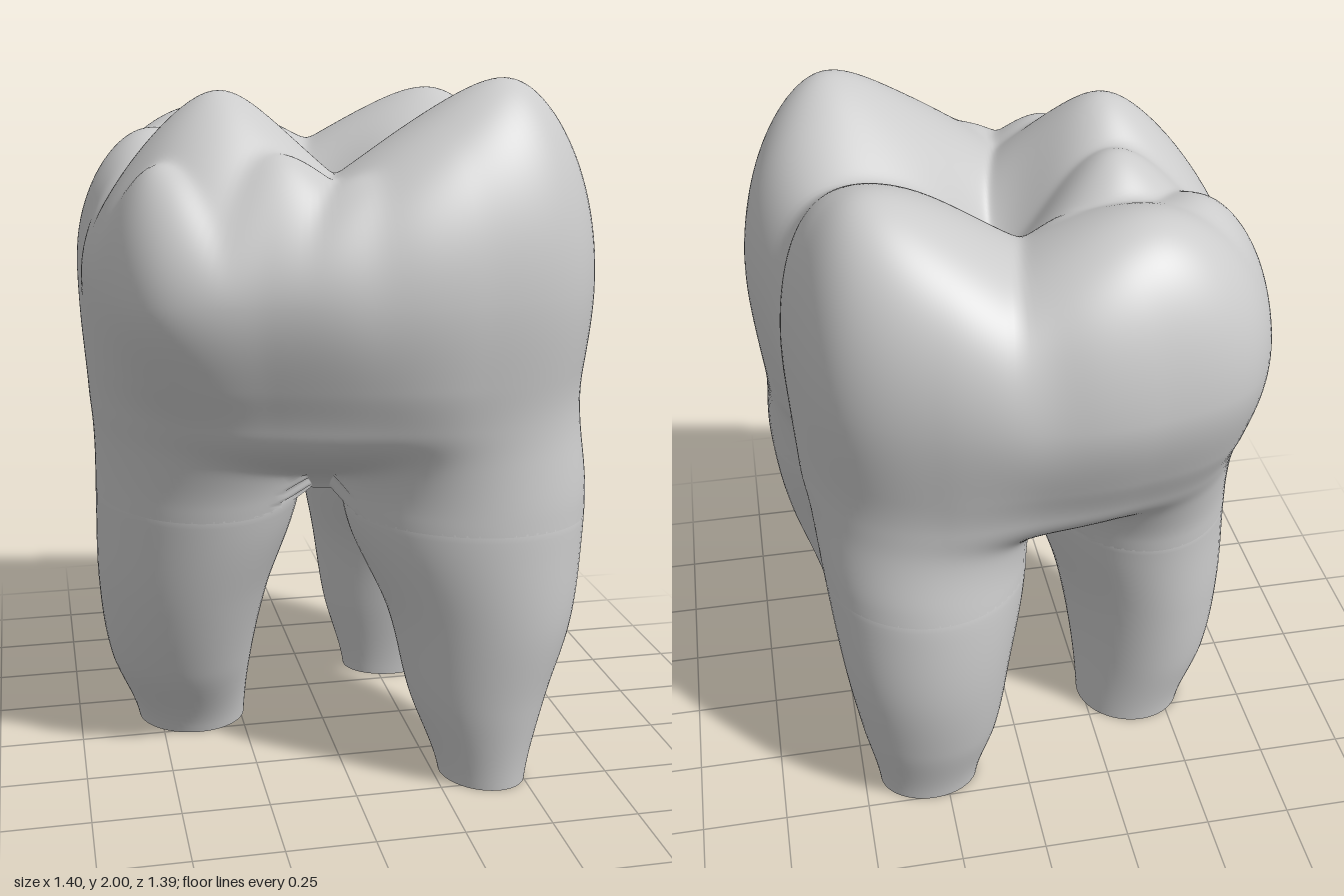
import * as THREE from 'three';

const TAU = Math.PI * 2;
const step = THREE.MathUtils.smoothstep;
const mix = THREE.MathUtils.lerp;
const material = new THREE.MeshStandardMaterial({ color: 0xcccccc, side: THREE.DoubleSide });

// Smooth curve through evenly spaced values; t is a fractional index
function spline(at, t) {
  const i = Math.floor(t), f = t - i;
  const a = at(i - 1), b = at(i), c = at(i + 1), d = at(i + 2);
  return b + 0.5 * f * (c - a + f * (2 * a - 5 * b + 4 * c - d + f * (3 * (b - c) + d - a)));
}

// Radii every 22.5 degrees from +x towards +z: crown at its widest, and the waist below it
const OUTLINE = [0.64, 0.755, 0.825, 0.745, 0.695, 0.69, 0.775, 0.725,
  0.7, 0.75, 0.8, 0.735, 0.69, 0.695, 0.72, 0.66];
const WAIST = [0.6, 0.72, 0.78, 0.69, 0.6, 0.58, 0.63, 0.67,
  0.685, 0.7, 0.69, 0.61, 0.58, 0.64, 0.68, 0.65];
const radius = (table, a) => spline((i) => table[(i + 16) % 16], (a / TAU) * 16);

// Roots: skew of the oval, and [centre x, centre z, half width x, half width z] at y = 0, 0.25, 0.5 ...
const ROOTS = {
  frontLeftRoot: { skew: 0.18, keys: [[0.39, 0.425, 0.12, 0.125], [0.375, 0.4, 0.19, 0.185],
    [0.38, 0.385, 0.255, 0.235], [0.345, 0.335, 0.325, 0.295], [0.335, 0.31, 0.345, 0.315], [0.335, 0.31, 0.35, 0.32]] },
  backLeftRoot: { skew: 0, keys: [[0.3, -0.39, 0.15, 0.115], [0.29, -0.4, 0.205, 0.175],
    [0.29, -0.39, 0.245, 0.23], [0.28, -0.33, 0.285, 0.29], [0.28, -0.285, 0.305, 0.305], [0.28, -0.28, 0.31, 0.31]] },
  rightRoot: { skew: 0.05, keys: [[-0.4, -0.14, 0.165, 0.16], [-0.433, -0.09, 0.217, 0.25],
    [-0.425, -0.05, 0.255, 0.32], [-0.385, -0.025, 0.295, 0.375], [-0.36, -0.02, 0.315, 0.42], [-0.36, -0.02, 0.32, 0.43]] },
};
const section = (keys, y) => [0, 1, 2, 3].map((k) =>
  spline((i) => keys[THREE.MathUtils.clamp(i, 0, 5)][k], y / 0.25));

// Cusps of the chewing surface: [x, z, height, slope, roundness]; grooves form where they meet
const CUSPS = [
  [0.44, 0.4, 2.02, 0.7, 0.1], [0.43, -0.3, 1.96, 0.62, 0.15], [-0.32, 0.18, 1.965, 0.95, 0.1],
  [-0.3, -0.05, 1.9, 1, 0.1], [-0.3, -0.45, 1.9, 0.65, 0.2], [-0.5, -0.25, 1.85, 0.7, 0.12],
  [-0.15, -0.2, 1.8, 0.9, 0.08], [-0.54, 0.38, 1.84, 0.9, 0.08], [0.03, 0.53, 1.78, 0.7, 0.1],
  [-0.2, 0.42, 1.82, 0.9, 0.08],
];
function chewingHeight(x, z) {
  let sum = 0;
  for (const [cx, cz, h, slope, e] of CUSPS) {
    const d = Math.hypot(x - cx, z - cz, e) - e;
    sum += Math.exp((h - slope * d - 1.8) / 0.01);
  }
  const pit = 0.1 * Math.exp(-((x + 0.02) ** 2 + (z - 0.03) ** 2) / 0.025);
  return 1.8 + 0.01 * Math.log(sum) - pit;
}

// Shallow vertical furrows where the main grooves run over the rim
function furrow(a, y) {
  let depth = 0;
  for (const [at, d] of [[-0.03, 0.04], [3.3, 0.035], [1.57, 0.015], [4.7, 0.02]]) {
    const off = Math.atan2(Math.sin(a - at), Math.cos(a - at));
    depth += d * Math.exp(-((off / 0.13) ** 2));
  }
  return 1 - depth * step(y, 1.25, 1.65);
}

// Trunk radius at height y: soft union of the root ovals and a core that widens upwards
function trunkRadius(y) {
  const ovals = Object.values(ROOTS).map(({ skew, keys }) => [skew, ...section(keys, y)]);
  const core = mix(0.1, 0.56, step(y, 0.78, 1.1));
  const soft = mix(0.012, 0.06, step(y, 0.8, 1.1));
  const distance = (x, z) => {
    let sum = Math.exp((core - Math.hypot(x, z)) / soft);
    for (const [q, cx, cz, rx, rz] of ovals) {
      const u = (x - cx) / rx, v = (z - cz) / rz;
      const d = Math.sqrt((u * u + v * v - 2 * q * u * v) / (1 - q * q)) - 1;
      sum += Math.exp(-d * (rx + rz) / 2 / soft);
    }
    return -soft * Math.log(sum);
  };
  return (a) => {
    const c = Math.cos(a), s = Math.sin(a);
    let r = 1, last = 1, d = 1;
    while (r > 0.03 && (d = distance(r * c, r * s)) > 0) {
      last = d;
      r -= 0.01;
    }
    return r + 0.01 * d / (d - last);
  };
}

// Closed rings from top to bottom, joined into one smooth skin; ring(i) gives a point per angle
function loft(name, rows, cols, ring) {
  const pos = [], index = [];
  for (let i = 0; i <= rows; i++) {
    const point = ring(i);
    for (let j = 0; j < cols; j++) {
      pos.push(...point((j / cols) * TAU));
      if (i === rows) continue;
      const a = i * cols + j, b = i * cols + ((j + 1) % cols);
      index.push(a, b, a + cols, b, b + cols, a + cols);
    }
  }
  const geo = new THREE.BufferGeometry();
  geo.setAttribute('position', new THREE.Float32BufferAttribute(pos, 3));
  geo.setIndex(index);
  geo.computeVertexNormals();
  const mesh = new THREE.Mesh(geo, material);
  mesh.name = name;
  return mesh;
}

// Crown: chewing surface, side wall, then the three-lobed trunk; a repeated last ring keeps its floor sharp
function makeCrown() {
  const TOP = 80, WALL = 60, RIM = 1.45, FLOOR = 0.8;
  return loft('crown', TOP + WALL + 2, 200, (i) => {
    if (i < TOP) {
      const k = Math.sin((i / TOP) * Math.PI / 2);
      const rise = Math.sqrt(1 - k ** 7.2);
      return (a) => {
        const r = radius(OUTLINE, a) * k, c = Math.cos(a), s = Math.sin(a);
        const y = RIM + (chewingHeight(r * c, r * s) - RIM) * rise;
        const cut = r * mix(1, furrow(a, y), k ** 4);
        return [cut * c, y, cut * s];
      };
    }
    if (i === TOP + WALL + 2) return () => [0, 0.84, 0];
    const y = mix(RIM, FLOOR, Math.min(1, (i - TOP) / WALL));
    const trunk = trunkRadius(y);
    return (a) => {
      const wall = mix(radius(WAIST, a), radius(OUTLINE, a) * furrow(a, y), step(y, 1.0, RIM));
      const r = mix(trunk(a), wall, step(y, 0.84, 1.22));
      return [r * Math.cos(a), y, r * Math.sin(a)];
    };
  });
}

// Root: tapering oval sections ending in a flat cut tip, its head tucked inside the trunk
function makeRoot(name, { skew, keys }) {
  const ROWS = 40, across = Math.sqrt(1 - skew * skew);
  return loft(name, ROWS + 2, 64, (i) => {
    const y = Math.max(0, 0.92 * (1 - i / ROWS));
    const [x, z, rx, rz] = section(keys, y);
    const k = i === ROWS + 2 ? 0 : 1 - 0.1 * step(y, 0.8, 0.92);
    return (a) => [x + rx * k * Math.cos(a), y, z + rz * k * (skew * Math.cos(a) + across * Math.sin(a))];
  });
}

export function createModel() {
  const group = new THREE.Group();
  group.name = 'molarTooth';
  group.add(makeCrown());
  for (const [name, root] of Object.entries(ROOTS)) group.add(makeRoot(name, root));
  return group;
}
